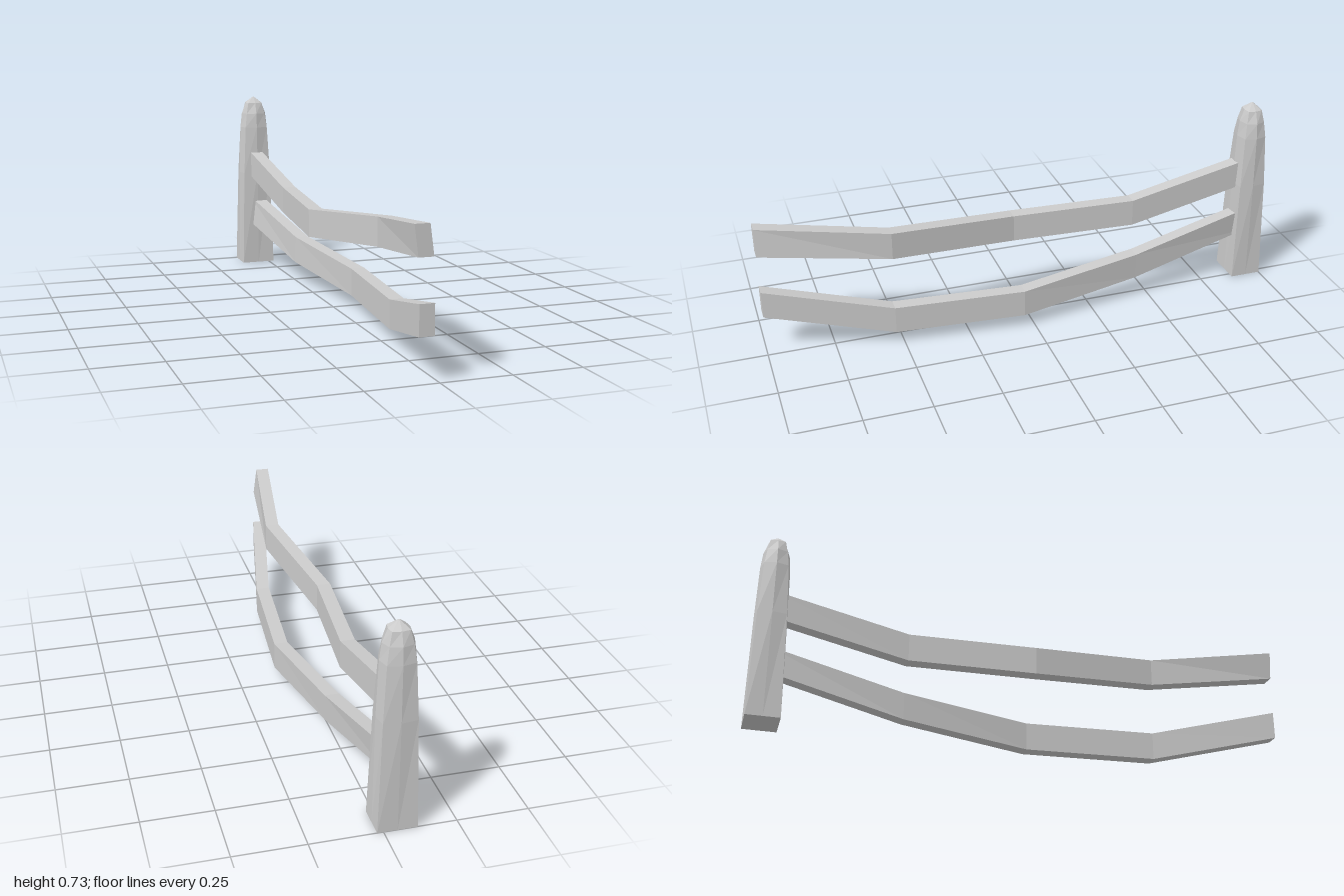
import * as THREE from 'three';

const material = new THREE.MeshStandardMaterial({ color: 0xcccccc, flatShading: true });

// Skins a list of closed rings (counter-clockwise seen from the end they advance toward) and caps both ends.
function loft(name, rings) {
  const n = rings[0].length;
  const positions = [];
  const tri = (a, b, c) => positions.push(...a, ...b, ...c);
  for (let i = 0; i < rings.length - 1; i++) {
    for (let j = 0; j < n; j++) {
      const k = (j + 1) % n;
      const a = rings[i][j], b = rings[i][k], c = rings[i + 1][k], d = rings[i + 1][j];
      tri(a, b, c);
      tri(a, c, d);
    }
  }
  const first = rings[0], last = rings[rings.length - 1];
  for (let j = 1; j < n - 1; j++) {
    tri(first[0], first[j + 1], first[j]);
    tri(last[0], last[j], last[j + 1]);
  }
  const geometry = new THREE.BufferGeometry();
  geometry.setAttribute('position', new THREE.Float32BufferAttribute(positions, 3));
  geometry.computeVertexNormals();
  const mesh = new THREE.Mesh(geometry, material);
  mesh.name = name;
  return mesh;
}

// Post: a square foot that softens into a rounded eight-sided top.
function createPost() {
  const cx = -0.047, cz = -0.94;
  const outline = [[1, 1], [1, 0], [1, -1], [0, -1], [-1, -1], [-1, 0], [-1, 1], [0, 1]];
  // height, half width, half depth, corner fullness
  const levels = [
    [0, 0.069, 0.061, 1],
    [0.4, 0.066, 0.059, 0.88],
    [0.6, 0.06, 0.054, 0.8],
    [0.66, 0.053, 0.048, 0.75],
    [0.706, 0.035, 0.032, 0.85],
    [0.732, 0.002, 0.002, 0.9],
  ];
  return loft('post', levels.map(([y, hx, hz, corner]) => outline.map(([x, z]) => {
    const f = x && z ? corner : 1;
    return [cx + x * hx * f, y, cz + z * hz * f];
  })));
}

// Rail: a bent beam following stations of [x, y, z, lean of the upper edge].
function createRail(name, stations) {
  const hw = 0.026, hh = 0.052;
  const corners = [[-1, -1], [1, -1], [1, 1], [-1, 1]];
  return loft(name, stations.map(([x, y, z, lean]) =>
    corners.map(([u, v]) => [x + u * hw + v * lean, y + v * hh, z])));
}

export function createModel() {
  const group = new THREE.Group();
  group.name = 'fence';
  group.add(createPost());

  // Stations run from inside the post to the free front end.
  group.add(createRail('upperRail', [
    [-0.05, 0.449, -0.94, 0],
    [-0.038, 0.348, -0.44, 0],
    [-0.081, 0.337, 0.03, 0],
    [0.003, 0.388, 0.52, 0],
    [-0.058, 0.451, 1, -0.007],
  ]));
  group.add(createRail('lowerRail', [
    [-0.045, 0.235, -0.94, 0.006],
    [0.014, 0.138, -0.44, 0.002],
    [0.085, 0.101, 0.04, 0],
    [0.045, 0.1, 0.53, 0],
    [-0.046, 0.203, 1, 0],
  ]));
  return group;
}
